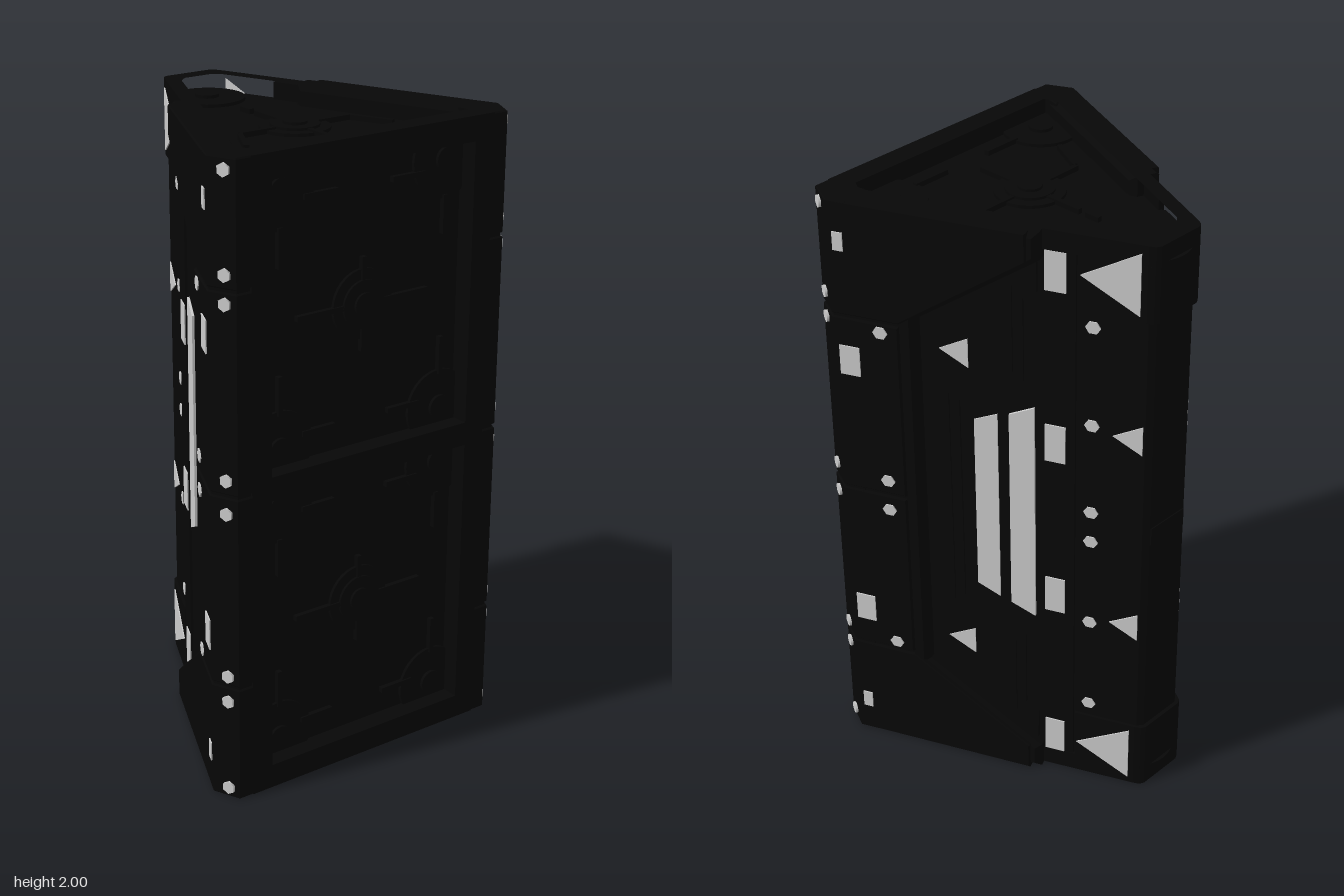
import * as THREE from 'three';

const shell = new THREE.MeshStandardMaterial({ color: 0x070707 });
shell.name = 'black shell';
const glow = new THREE.MeshStandardMaterial({ color: 0xcdcdcd });
glow.name = 'pale light';

const SLOPE = 0.425, LEN = Math.hypot(1, SLOPE), CORE_X = 0.292;
const RECESS = 0.065, PLATE = 0.058;

function shapeOf(points) {
  return new THREE.Shape(points.map(([x, y]) => new THREE.Vector2(x, y)));
}

function extrude(shape, depth, bevel = 0) {
  return new THREE.ExtrudeGeometry(shape, {
    depth: depth - bevel, bevelEnabled: bevel > 0, bevelSize: bevel,
    bevelThickness: bevel, bevelOffset: -bevel, bevelSegments: 1,
  });
}

function add(parent, name, geometry, material = shell) {
  const mesh = new THREE.Mesh(geometry, material);
  mesh.name = name;
  parent.add(mesh);
  return mesh;
}

// Upright prism from a plan outline of [x, z] points
function prism(plan, y0, y1, bevel = 0) {
  const shape = shapeOf(plan.map(([x, z]) => [x, -z]));
  const geo = extrude(shape, y1 - y0 - bevel, bevel);
  return geo.rotateX(-Math.PI / 2).translate(0, y0 + bevel, 0);
}

const mirrorX = (half) => [...half, ...half.map(([x, z]) => [-x, z]).reverse()];
const flipY = (points) => points.map(([z, y]) => [z, 2 - y]);

// Plate on the sloping side: outline in [z, y], from height d0 to d1 above the core
function sidePlate(parent, name, points, d0, d1, material = shell, bevel = 0) {
  const geo = extrude(shapeOf(points.map(([z, y]) => [-z, y])), d1 - d0, bevel);
  const m = new THREE.Matrix4().makeBasis(
    new THREE.Vector3(-SLOPE, 0, -1),
    new THREE.Vector3(0, 1, 0),
    new THREE.Vector3(1, 0, -SLOPE).divideScalar(LEN),
  ).setPosition(CORE_X + d0 * LEN, 0, 0);
  return add(parent, name, geo.applyMatrix4(m), material);
}

const rect = (z, y, w, h) => [[z - w / 2, y - h / 2], [z + w / 2, y - h / 2], [z + w / 2, y + h / 2], [z - w / 2, y + h / 2]];
const hexagon = (z, y, r = 0.022) => Array.from({ length: 6 }, (_, i) =>
  [z + r * Math.cos(i * Math.PI / 3), y + r * Math.sin(i * Math.PI / 3)]);
const wedge = (tip, base, y, h) => [[tip, y], [base, y - h], [base, y + h]];

// Raised disc and pin helpers, lying in the XY plane and facing +z
function disc(parent, name, x, y, r, height) {
  add(parent, name, new THREE.CylinderGeometry(r, r, height, 32).rotateX(Math.PI / 2).translate(x, y, height / 2));
}
function pin(parent, x, y, length, angle = 0) {
  add(parent, 'pin', new THREE.BoxGeometry(length, 0.016, 0.016).rotateZ(angle).translate(x, y, 0.008));
}
function emblem(corners, armX, armY) {
  const g = new THREE.Group();
  g.name = 'panelRelief';
  disc(g, 'hubBase', 0, 0, 0.108, 0.010);
  disc(g, 'hubStep', 0, 0, 0.075, 0.018);
  disc(g, 'hubCentre', 0, 0, 0.037, 0.026);
  for (const s of [-1, 1]) {
    pin(g, s * (armX + 0.06) / 2, 0, armX - 0.06);
    pin(g, 0, s * (armY + 0.06) / 2, armY - 0.06, Math.PI / 2);
  }
  for (const [x, y] of corners) {
    disc(g, 'cornerPad', x, y, 0.12, 0.010);
    disc(g, 'cornerBoss', x, y, 0.038, 0.020);
  }
  return g;
}

// One sloping side with all its armour and lights
function buildSide() {
  const side = new THREE.Group();
  side.name = 'side';
  // Continuous chamfered layer beneath the split armour
  sidePlate(side, 'armourBase', [[0.42, 0], [-0.16, 0], [-0.16, 0.09], [0.195, 0.355], [0.195, 1.645],
    [-0.16, 1.91], [-0.16, 2], [0.42, 2]], -0.03, PLATE - 0.008, shell, 0.018);
  const armour = [
    [[0.41, 0], [-0.145, 0], [-0.145, 0.095], [0.225, 0.375], [0.41, 0.375]],
    [[0.41, 0.385], [0.225, 0.385], [0.225, 0.995], [0.41, 0.995]],
  ];
  const cheek = [[0.24, 0.33], [-0.15, 0.06], [-0.15, 0.15], [-0.08, 0.20], [-0.08, 0.49], [0.11, 0.61], [0.11, 1], [0.24, 1]];
  const step = [[0.14, 0.50], [-0.06, 0.40], [-0.06, 0.18], [-0.15, 0.12], [-0.15, 0.21], [-0.11, 0.24],
    [-0.11, 0.52], [0.08, 0.63], [0.08, 1], [0.14, 1]];
  for (const flip of [(p) => p, flipY]) {
    for (const p of armour) sidePlate(side, 'armourPlate', flip(p), 0.01, PLATE, shell, 0.005);
    sidePlate(side, 'recessStep', flip(cheek), -0.01, 0.011);
    sidePlate(side, 'innerStep', flip(step), -0.01, 0.006);
    const light = (points, d) => sidePlate(side, 'light', flip(points), d, d + 0.004, glow);
    light(rect(0.37, 0.13, 0.03, 0.06), PLATE);
    light(rect(0.355, 0.53, 0.06, 0.10), PLATE);
    for (const y of [0.413, 0.945]) light(hexagon(0.26, y), PLATE);
    light(wedge(0.125, 0.04, 0.455, 0.05), 0.010);
    for (const [y, h] of [[0.13, 0.13], [0.715, 0.13]]) light(rect(-0.21, y, 0.06, h), 0.008);
    for (const y of [0.295, 0.63, 0.945]) light(hexagon(-0.31, y), 0);
    light(wedge(-0.28, -0.445, 0.125, 0.10), 0.010);
    light(wedge(-0.37, -0.455, 0.65, 0.05), 0);
  }
  sidePlate(side, 'spineStrip', rect(-0.215, 1, 0.09, 1.98), -0.01, 0.008);
  // Long slanted light bars
  sidePlate(side, 'lightBar', [[0.035, 0.69], [0.035, 1.31], [-0.035, 1.345], [-0.035, 0.655]], 0, 0.004, glow);
  sidePlate(side, 'lightBar', [[-0.07, 0.645], [-0.07, 1.355], [-0.145, 1.395], [-0.145, 0.61]], 0, 0.008, glow);

  // Chamfered front corner guard: four lengths over a slimmer full-height post
  const guard = [[0.40, 0.36], [0.43, 0.485], [0.485, 0.485], [0.525, 0.40], [0.499, 0.34]];
  for (const [a, b] of [[0, 0.375], [0.385, 0.995], [1.005, 1.615], [1.625, 2]]) {
    add(side, 'cornerGuard', prism(guard, a, b, 0.004));
  }
  const post = [[0.40, 0.36], [0.43, 0.479], [0.48, 0.479], [0.518, 0.40], [0.492, 0.34]];
  add(side, 'cornerPost', prism(post, 0.01, 1.99));
  for (const y of [0.035, 0.333, 0.418, 0.95, 1.055, 1.585, 1.67, 1.967]) {
    const dot = add(side, 'cornerLight', new THREE.CylinderGeometry(0.021, 0.021, 0.008, 6).rotateX(Math.PI / 2), glow);
    dot.position.set(0.504, y, 0.453);
    dot.rotation.y = Math.atan2(0.085, 0.04);
  }
  return side;
}

// End frame with its sunken triangular panel
function buildEnd() {
  const end = new THREE.Group();
  end.name = 'endPanel';
  const outline = mirrorX([[0.08, -0.488], [0.095, -0.48], [0.105, -0.462], [0.238, -0.156], [0.475, 0.40], [0.44, 0.46]]);
  const frame = shapeOf(outline.map(([x, z]) => [x, -z]));
  const hole = mirrorX([[0.05, -0.43], [0.078, -0.405], [0.415, 0.375], [0.395, 0.41]]);
  frame.holes.push(new THREE.Path(hole.map(([x, z]) => new THREE.Vector2(x, -z))));
  add(end, 'endFrame', extrude(frame, RECESS));
  const relief = emblem([[0, 0.47], [0.325, -0.265], [-0.325, -0.265]], 0.2, 0.2);
  relief.position.y = -0.09;
  for (const s of [-1, 1]) {
    pin(relief, s * 0.15, -0.265, 0.13);
    pin(relief, s * 0.235, -0.07, 0.14, -s * 1.1);
  }
  pin(relief, 0, 0.25, 0.05, Math.PI / 2);
  end.add(relief);
  end.rotation.x = -Math.PI / 2;
  end.position.y = 2 - RECESS;
  return end;
}

export function createModel() {
  const model = new THREE.Group();
  model.name = 'triangularCrate';

  const plan = mirrorX([[0.078, -0.475], [0.096, -0.461], [0.462, 0.40], [0.45, 0.42]]);
  add(model, 'core', prism(plan, RECESS, 2 - RECESS));

  // Heavy caps at both ends of the back edge
  const cap = mirrorX([[0.08, -0.488], [0.095, -0.48], [0.106, -0.462], [0.186, -0.275], [0.16, -0.25]]);
  for (const [a, b] of [[RECESS, 0.245], [1.755, 2 - RECESS]]) add(model, 'backCap', prism(cap, a, b));
  add(model, 'backBand', new THREE.BoxGeometry(0.15, 0.06, 0.012).translate(0, 1, -0.473));

  // Front frame around two sunken panels
  const front = shapeOf([[-0.435, 0], [0.435, 0], [0.435, 2], [-0.435, 2]]);
  for (const y of [0.52, 1.48]) {
    front.holes.push(new THREE.Path(rect(0, y, 0.73, 0.885).map(([a, b]) => new THREE.Vector2(a, b))));
    const corners = [[0.3, 0.39], [-0.3, 0.39], [0.3, -0.39], [-0.3, -0.39]];
    const relief = emblem(corners, 0.24, 0.145);
    for (const [x, v] of corners) {
      pin(relief, x * 0.53, v * 0.92, 0.12);
      pin(relief, x, v * 0.57, 0.12, Math.PI / 2);
    }
    relief.position.set(0, y, 0.485 - RECESS);
    model.add(relief);
  }
  add(model, 'frontFrame', extrude(front, RECESS).translate(0, 0, 0.485 - RECESS));

  // The second half is the first turned about the front axis
  for (const turned of [false, true]) {
    const half = new THREE.Group();
    half.name = turned ? 'rightSideAndBase' : 'leftSideAndTop';
    half.add(buildSide(), buildEnd());
    if (turned) {
      half.rotation.z = Math.PI;
      half.position.y = 2;
    }
    model.add(half);
  }
  return model;
}
